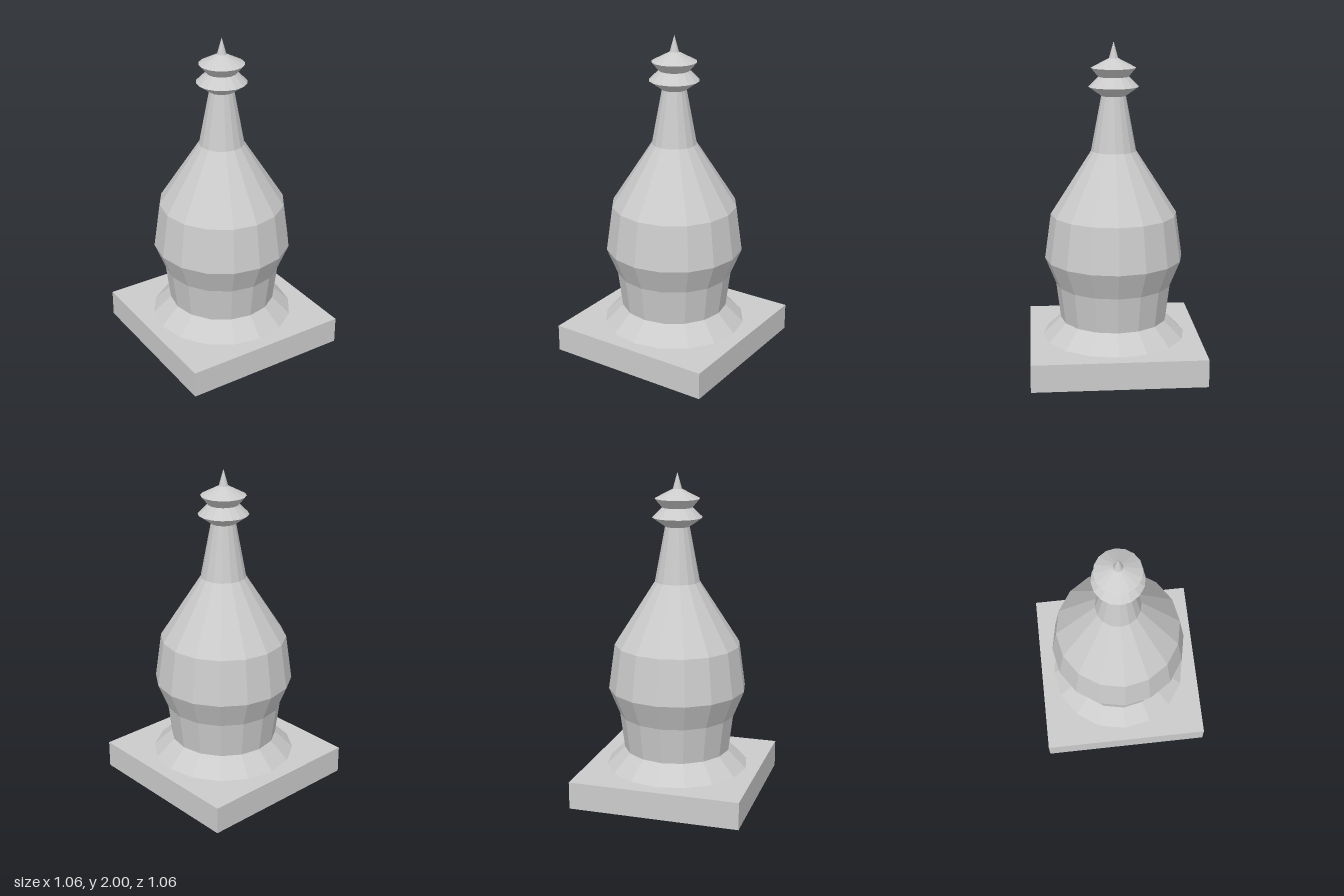
import * as THREE from 'three';

const SIDES = 16;

export function createModel() {
  const group = new THREE.Group();
  const material = new THREE.MeshStandardMaterial({ color: 0xcccccc, flatShading: true });

  const add = (name, geometry, y = 0) => {
    const mesh = new THREE.Mesh(geometry, material);
    mesh.name = name;
    mesh.position.y = y;
    group.add(mesh);
  };

  // Faceted turned part from [radius, height] pairs, bottom to top
  const turned = (name, profile) =>
    add(name, new THREE.LatheGeometry(profile.map(([r, y]) => new THREE.Vector2(r, y)), SIDES));

  // Square plinth
  add('plinth', new THREE.BoxGeometry(1.056, 0.17, 1.056), 0.085);

  // Sloped foot ring
  turned('foot', [[0.445, 0.17], [0.332, 0.28]]);

  // Bell-shaped body
  turned('body', [[0.332, 0.28], [0.36, 0.505], [0.427, 0.67], [0.388, 0.95], [0.138, 1.34]]);

  // Tapering neck
  turned('neck', [[0.138, 1.34], [0.075, 1.675]]);

  // Two stacked discs with sharp rims
  turned('lowerDisc', [[0.075, 1.675], [0.153, 1.73], [0.093, 1.79]]);
  turned('upperDisc', [[0.093, 1.79], [0.137, 1.843], [0.028, 1.9]]);

  // Pointed finial
  turned('finial', [[0.028, 1.9], [0, 2]]);

  return group;
}
